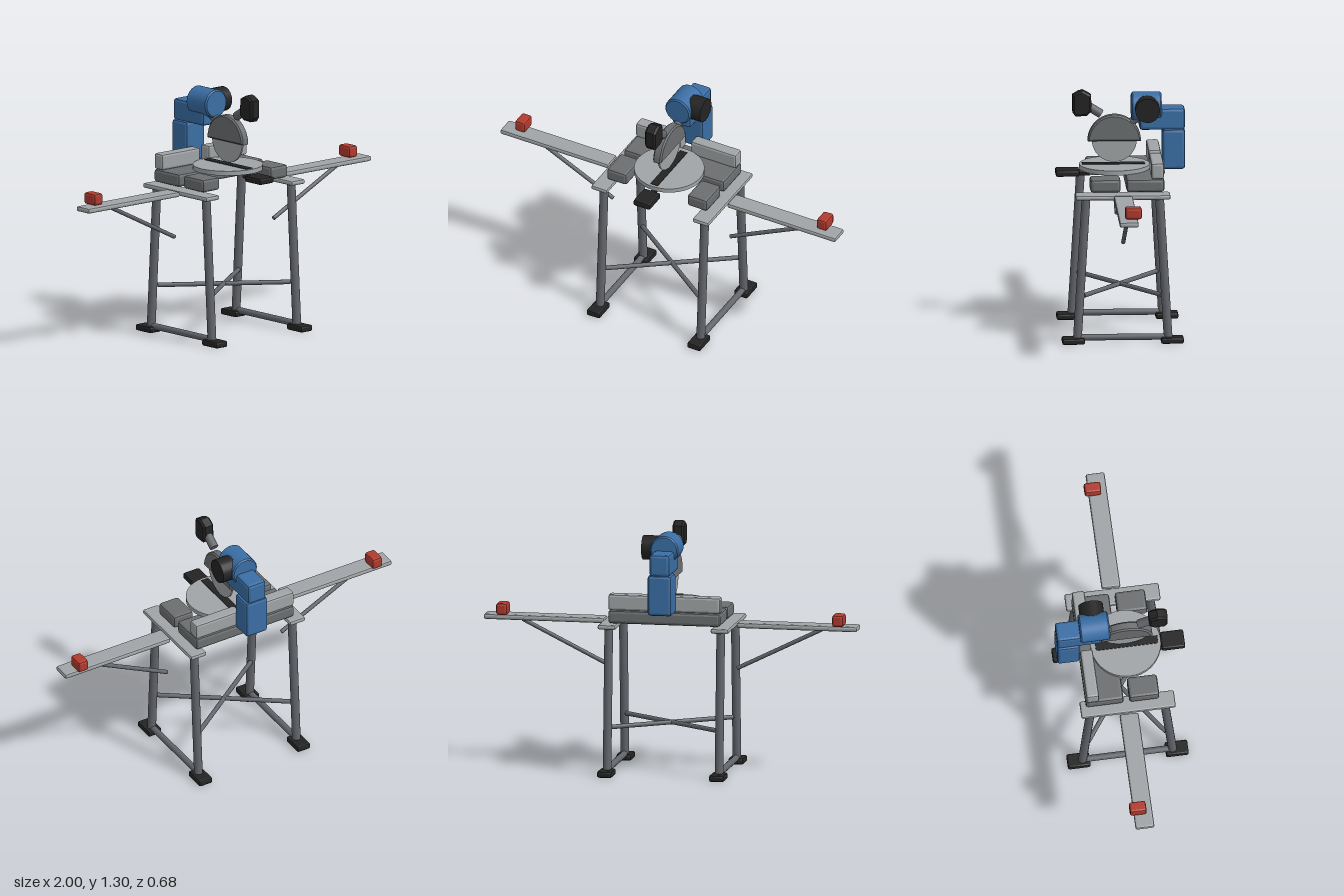
import * as THREE from 'three';
import { RoundedBoxGeometry } from 'three/addons/geometries/RoundedBoxGeometry.js';
import { toCreasedNormals } from 'three/addons/utils/BufferGeometryUtils.js';

const material = (name, color) => {
  const m = new THREE.MeshStandardMaterial({ color });
  m.name = name;
  return m;
};

export function createModel() {
  const model = new THREE.Group();
  model.name = 'mitreSawOnStand';

  const steel = material('steelGrey', 0x62656b);
  const cast = material('castGrey', 0x6b6e70);
  const light = material('lightGrey', 0xa0a4a6);
  const blue = material('blue', 0x3a6ea5);
  const red = material('red', 0xb03a2e);
  const black = material('black', 0x232323);

  const add = (name, geometry, mat) => {
    const mesh = new THREE.Mesh(geometry, mat);
    mesh.name = name;
    model.add(mesh);
    return mesh;
  };

  // chamfered box given by its limits on each axis
  const box = (name, mat, [x0, x1], [y0, y1], [z0, z1], chamfer = 0.01) => {
    const g = new RoundedBoxGeometry(x1 - x0, y1 - y0, z1 - z0, 1, chamfer);
    g.translate((x0 + x1) / 2, (y0 + y1) / 2, (z0 + z1) / 2);
    return add(name, toCreasedNormals(g, 0.3), mat);
  };

  // round bar between two points
  const rod = (name, mat, a, b, radius, sides = 16) => {
    const p = new THREE.Vector3(...a);
    const q = new THREE.Vector3(...b);
    const dir = q.clone().sub(p);
    const mesh = add(name, new THREE.CylinderGeometry(radius, radius, dir.length(), sides), mat);
    mesh.position.copy(p).add(q).multiplyScalar(0.5);
    mesh.quaternion.setFromUnitVectors(new THREE.Vector3(0, 1, 0), dir.normalize());
    return mesh;
  };

  // profile drawn in (z, y), extruded across x with a bevel
  const slab = (name, mat, shape, halfWidth, bevel, y, z) => {
    const depth = 2 * (halfWidth - bevel);
    const g = new THREE.ExtrudeGeometry(shape, {
      depth, bevelEnabled: true, bevelSize: bevel, bevelThickness: bevel,
      bevelOffset: -bevel, bevelSegments: 1, curveSegments: 28,
    });
    g.translate(0, 0, -depth / 2).rotateY(-Math.PI / 2).translate(0, y, z);
    return add(name, toCreasedNormals(g, 0.5), mat);
  };

  // stand, extension arms and base pads, mirrored left and right
  for (const s of [1, -1]) {
    const span = (a, b) => (s > 0 ? [a, b] : [-b, -a]);
    for (const f of [1, -1]) {
      rod('leg', steel, [s * 0.3, 0.02, f * 0.239], [s * 0.3, 0.79, f * 0.193], 0.023);
      box('foot', black, span(0.26, 0.34), [0.002, 0.036], f > 0 ? [0.2, 0.32] : [-0.32, -0.2]);
    }
    rod('lowerRail', steel, [s * 0.3, 0.035, 0.24], [s * 0.3, 0.035, -0.24], 0.017);
    rod('crossBrace', steel, [s * 0.285, 0.256, 0.205], [-s * 0.285, 0.256, -0.205], 0.012);
    box('mountPlate', light, span(0.255, 0.35), [0.78, 0.806], [-0.25, 0.25]);
    box('extensionArm', light, span(0.355, 1), [0.778, 0.806], [-0.05, 0.05]);
    rod('armBrace', steel, [s * 0.8, 0.778, 0], [s * 0.35, 0.556, 0], 0.011);
    box('workStop', red, span(0.87, 0.93), [0.806, 0.868], [-0.07, 0.018], 0.012);
    box('basePad', cast, span(0.18, 0.3), [0.81, 0.88], [0.01, 0.17], 0.015);
    box('fence', light, span(0.03, 0.3), [0.88, 0.965], [-0.217, -0.15], 0.012);
  }
  box('base', cast, [-0.3, 0.3], [0.81, 0.88], [-0.22, -0.02], 0.015);

  // turntable with its slot and front grip
  add('turntable', new THREE.CylinderGeometry(0.185, 0.185, 0.024, 40), light).position.set(0, 0.89, 0.03);
  box('slotPlate', black, [-0.022, 0.022], [0.9, 0.906], [-0.13, 0.2], 0.002);
  rod('mitreGripStem', black, [0, 0.86, 0.16], [0, 0.86, 0.25], 0.015);
  box('mitreGrip', black, [-0.05, 0.05], [0.842, 0.877], [0.215, 0.34]);

  // blade and upper guard
  rod('blade', light, [-0.005, 1.03, 0.03], [0.005, 1.03, 0.03], 0.118, 40);
  const half = new THREE.Shape();
  half.absarc(0, 0, 0.14, 0, Math.PI, false);
  half.closePath();
  slab('bladeGuard', cast, half, 0.025, 0.008, 1.026, 0.03);

  // rear column, head and motor
  box('column', blue, [-0.065, 0.065], [0.88, 1.095], [-0.34, -0.22], 0.015);
  box('headArm', blue, [-0.055, 0.055], [1.09, 1.206], [-0.34, -0.1], 0.015);
  const motor = new THREE.LatheGeometry(
    [[0, -0.079], [0.068, -0.079], [0.075, -0.072], [0.075, 0.072], [0.068, 0.079], [0, 0.079]]
      .map(([r, y]) => new THREE.Vector2(r, y)), 32);
  motor.rotateX(Math.PI / 2);
  add('motorHousing', toCreasedNormals(motor, 0.5), blue).position.set(0, 1.21, -0.138);
  rod('motorCap', black, [0.04, 1.21, -0.14], [0.125, 1.21, -0.14], 0.065, 20);
  rod('guardLink', steel, [0, 1.09, 0], [0, 1.15, -0.1], 0.022);

  // pull handle on its stem
  rod('handleStem', steel, [0, 1.232, 0.2], [0, 1.17, 0.1], 0.024);
  const grip = new THREE.Shape([
    [0.05, 0.045], [0.02, 0.063], [-0.002, 0.069], [-0.047, 0.045], [-0.05, -0.042],
    [-0.024, -0.066], [0.034, -0.069], [0.05, -0.048],
  ].map(([z, y]) => new THREE.Vector2(z, y)));
  slab('handle', black, grip, 0.031, 0.01, 1.23, 0.2);

  return model;
}
